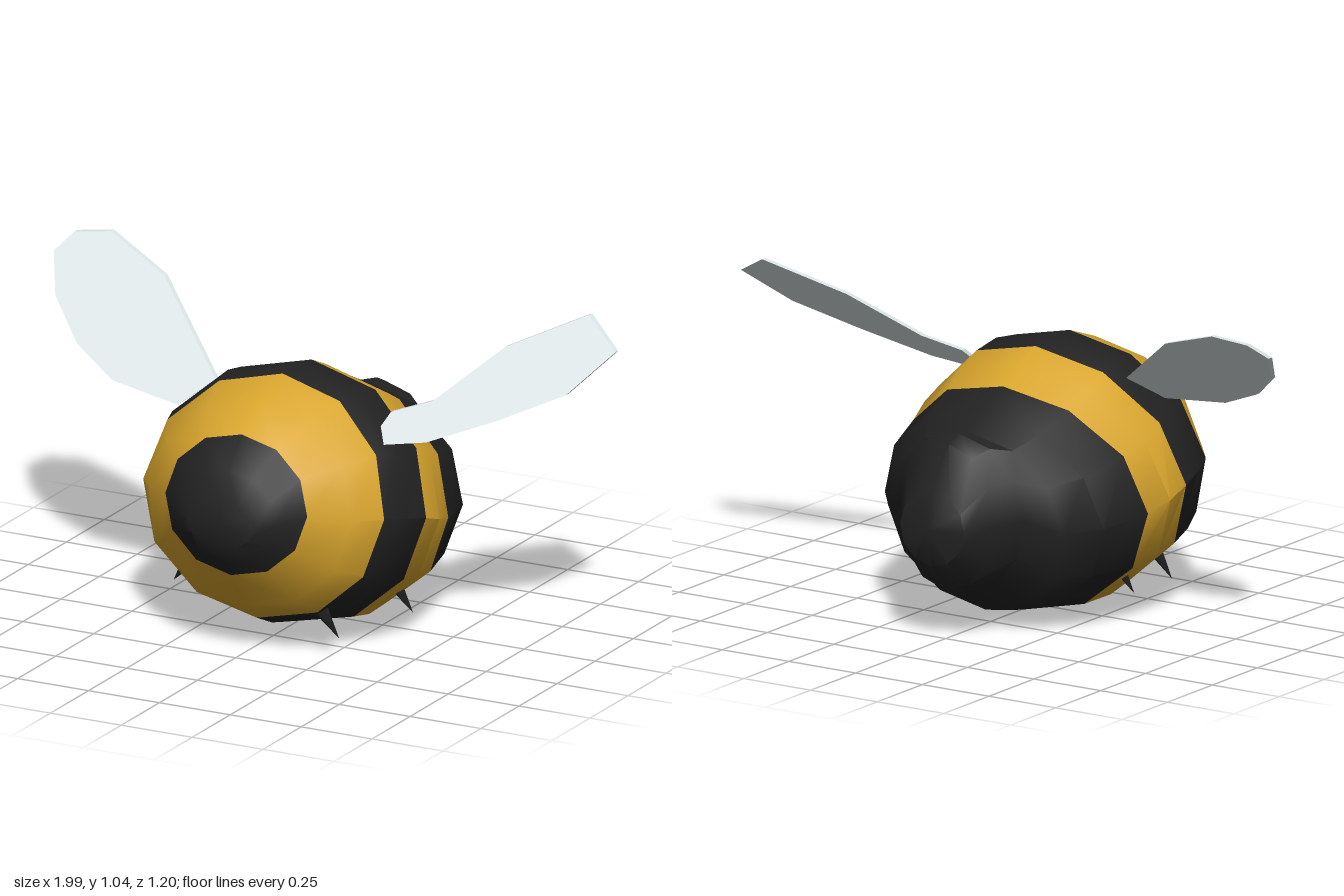
import * as THREE from 'three';
import { toCreasedNormals } from 'three/addons/utils/BufferGeometryUtils.js';

const mat = (name, color) => {
  const m = new THREE.MeshStandardMaterial({ color });
  m.name = name;
  return m;
};

export function createModel() {
  const gold = mat('gold', 0xd8a52d);
  const black = mat('black', 0x222222);
  const wingGrey = mat('wing grey', 0xdde6e8);
  const bee = new THREE.Group();
  bee.name = 'bee';
  const add = (name, geometry, material) => {
    const mesh = new THREE.Mesh(geometry, material);
    mesh.name = name;
    bee.add(mesh);
    return mesh;
  };

  // Body: tilted rings from nose to tail
  // [top z, top y, bottom z, bottom y, half width, forward bow, colour of the next band (0 black, 1 gold)]
  const rings = [
    [0.602, 0.465, 0.602, 0.465, 0, 0, 0],
    [0.60, 0.54, 0.60, 0.39, 0.12, 0, 0],
    [0.55, 0.63, 0.565, 0.33, 0.18, 0, 0],
    [0.46, 0.72, 0.53, 0.28, 0.25, 0, 1],
    [0.33, 0.79, 0.44, 0.15, 0.355, 0.015, 1],
    [0.19, 0.84, 0.36, 0.09, 0.425, 0.04, 0],
    [0.10, 0.85, 0.26, 0.045, 0.46, 0.045, 0],
    [0.00, 0.83, 0.165, 0.02, 0.475, 0.05, 1],
    [-0.09, 0.79, 0.06, 0.0, 0.475, 0.06, 1],
    [-0.18, 0.74, -0.08, 0.0, 0.455, 0.08, 0],
    [-0.30, 0.68, -0.20, 0.025, 0.41, 0.02, 0],
    [-0.38, 0.64, -0.28, 0.045, 0.33, 0, 0],
    [-0.43, 0.645, -0.39, 0.14, 0.235, 0, 0],
    [-0.48, 0.62, -0.50, 0.155, 0.175, 0, 0],
    [-0.57, 0.49, -0.58, 0.25, 0.12, 0, 0],
    [-0.60, 0.37, -0.60, 0.37, 0, 0, 0],
  ];
  const sides = 12;
  const positions = [];
  const index = [];
  const body = new THREE.BufferGeometry();
  rings.forEach(([zt, yt, zb, yb, w, bow, colour], i) => {
    for (let j = 0; j < sides; j++) {
      const a = (j / sides) * Math.PI * 2;
      const t = (1 + Math.cos(a)) / 2;
      positions.push(w * Math.sin(a), yb + (yt - yb) * t, zb + (zt - zb) * t + bow * Math.sin(a) ** 2);
    }
    if (i === rings.length - 1) return;
    body.addGroup(index.length, sides * 6, colour);
    for (let j = 0; j < sides; j++) {
      const p = i * sides + j;
      const q = i * sides + ((j + 1) % sides);
      index.push(p, q, p + sides, q, q + sides, p + sides);
    }
  });
  body.setAttribute('position', new THREE.Float32BufferAttribute(positions, 3));
  body.setIndex(index);
  add('stripedBody', toCreasedNormals(body, 0.6), [black, gold]);

  // Wings: thin plates swept up and back
  const makeWing = (name, outline) => {
    const shape = new THREE.Shape(outline.map(([x, y]) => new THREE.Vector2(x, y)));
    const g = new THREE.ExtrudeGeometry(shape, { depth: 0.02, bevelEnabled: false });
    const p = g.attributes.position;
    for (let i = 0; i < p.count; i++) {
      p.setZ(i, p.getZ(i) + 0.172 - (p.getY(i) - 0.68) * 1.2);
    }
    g.computeVertexNormals();
    add(name, g, wingGrey);
  };
  makeWing('leftWing', [
    [0.31, 0.66], [0.5, 0.69], [0.7, 0.765], [0.89, 0.85], [0.99, 0.965],
    [0.85, 1.04], [0.62, 0.935], [0.46, 0.785], [0.34, 0.745],
  ]);
  makeWing('rightWing', [
    [-0.28, 0.75], [-0.6, 0.965], [-0.84, 1.045], [-0.96, 1.03], [-1, 0.98],
    [-0.93, 0.88], [-0.79, 0.78], [-0.62, 0.71], [-0.37, 0.68],
  ]);

  // Tiny pointed feet under the belly
  const up = new THREE.Vector3(0, 1, 0);
  for (const [x, y, z] of [[0.25, 0.1, 0.34], [0.36, 0.12, 0.06], [-0.36, 0.14, 0.18], [-0.34, 0.13, 0.0]]) {
    const foot = add('foot', new THREE.ConeGeometry(0.025, 0.1, 4), black);
    const dir = new THREE.Vector3(Math.sign(x) * 0.6, -0.8, 0);
    foot.quaternion.setFromUnitVectors(up, dir);
    foot.position.set(x, y, z);
  }
  return bee;
}
